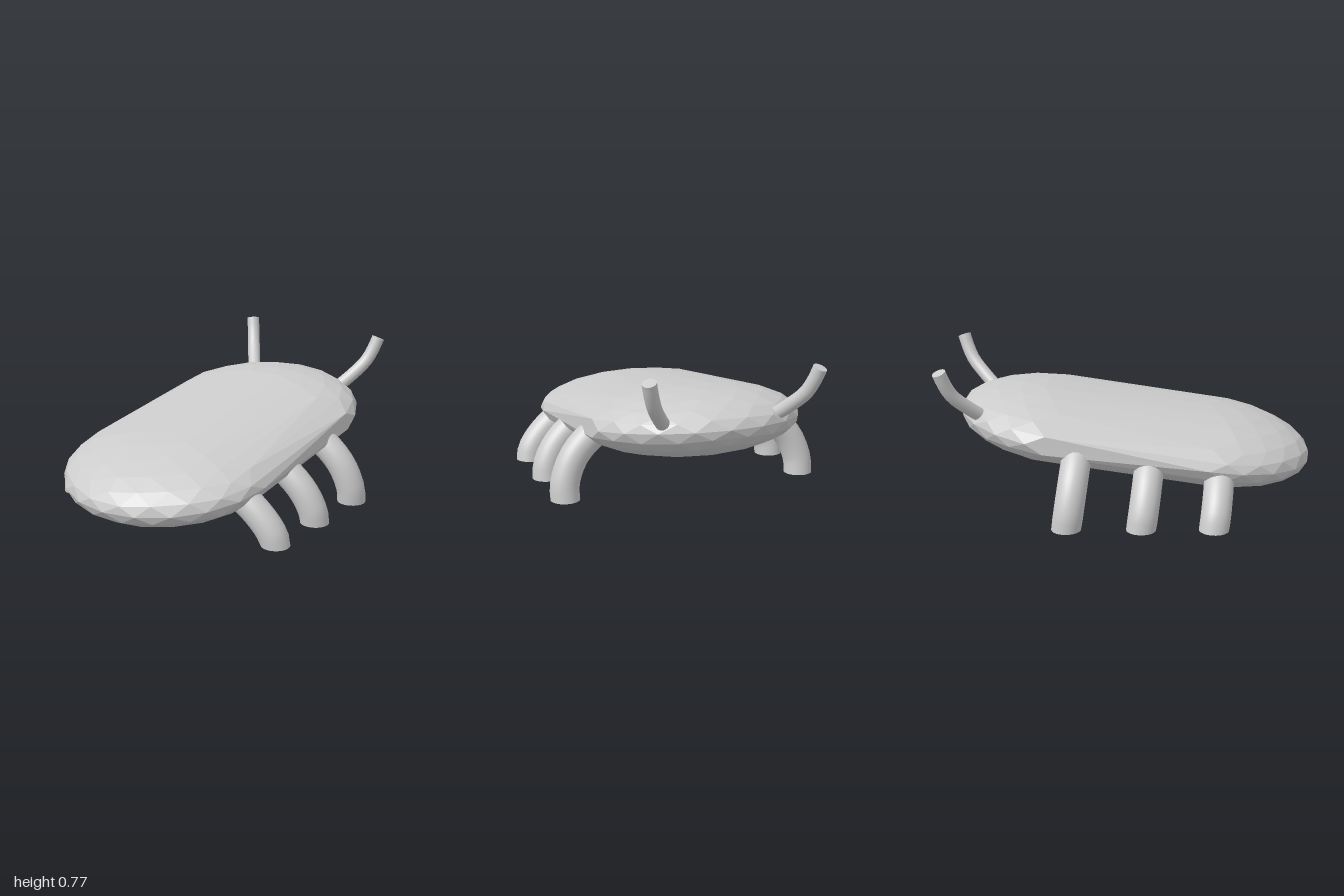
import * as THREE from 'three';

const SLOPE = 0.142; // nose-down lean of the body and legs
const flat = new THREE.MeshStandardMaterial({ color: 0xcccccc, flatShading: true });
const smooth = new THREE.MeshStandardMaterial({ color: 0xcccccc, side: THREE.DoubleSide });

// Split every triangle into four, pushing new corners out to the unit sphere
function subdivide(tris) {
  const mid = (a, b) => a.clone().add(b).normalize();
  return tris.flatMap(([a, b, c]) => {
    const ab = mid(a, b), bc = mid(b, c), ca = mid(c, a);
    return [[a, ab, ca], [ab, b, bc], [ca, bc, c], [ab, bc, ca]];
  });
}

// Faceted sphere, cut in half across and pulled into a flattened capsule
function createBody() {
  const ico = new THREE.IcosahedronGeometry(1, 0);
  ico.rotateX(-Math.atan((1 + Math.sqrt(5)) / 2)); // one corner straight up
  const pos = ico.attributes.position;
  let tris = [];
  for (let i = 0; i < pos.count; i += 3) {
    tris.push([0, 1, 2].map((k) => new THREE.Vector3().fromBufferAttribute(pos, i + k)));
  }
  tris = subdivide(subdivide(tris));
  const points = tris.flat().map((p) =>
    new THREE.Vector3(p.x * 0.58, p.y * 0.188, p.z * 0.575 + (p.z > -1e-4 ? 0.388 : -0.388)));
  const geo = new THREE.BufferGeometry().setFromPoints(points);
  geo.rotateX(Math.atan(SLOPE));
  geo.translate(0, 0.335, 0.042);
  geo.computeVertexNormals();
  const mesh = new THREE.Mesh(geo, flat);
  mesh.name = 'body';
  return mesh;
}

// Bent round limb with a flat end; a grounded one is levelled at y = 0
function createLimb(name, points, radius, grounded) {
  const group = new THREE.Group();
  group.name = name;
  const segments = 10, sides = 32;
  const curve = new THREE.CatmullRomCurve3(points);
  const tube = new THREE.TubeGeometry(curve, segments, radius, sides);
  const pos = tube.attributes.position;
  const first = segments * (sides + 1);
  const rim = [];
  for (let i = 0; i <= sides; i++) {
    if (grounded) pos.setY(first + i, 0);
    rim.push(new THREE.Vector3().fromBufferAttribute(pos, first + i));
  }
  const center = points[points.length - 1];
  const fan = [];
  for (let i = 0; i < sides; i++) fan.push(center, rim[i], rim[i + 1]);
  const cap = new THREE.BufferGeometry().setFromPoints(fan);
  cap.computeVertexNormals();
  const shaft = new THREE.Mesh(tube, smooth);
  shaft.name = name + 'Shaft';
  const end = new THREE.Mesh(cap, smooth);
  end.name = name + 'End';
  group.add(shaft, end);
  return group;
}

export function createModel() {
  const model = new THREE.Group();
  model.name = 'bug';
  model.add(createBody());

  // Leg bends as [x, y], from inside the body to the ground
  const longLeg = [[0.42, 0.37], [0.5, 0.325], [0.57, 0.265], [0.62, 0.2], [0.655, 0.12], [0.668, 0.06], [0.667, 0]];
  const shortLeg = [[0.42, 0.26], [0.49, 0.22], [0.55, 0.175], [0.6, 0.125], [0.635, 0.08], [0.655, 0.04], [0.662, 0]];
  const legs = [['frontLeg', 0.4475, 0], ['middleLeg', 0.078, 0.5], ['backLeg', -0.302, 1]];
  const feelerPath = [[0.3, 0.49, -0.77], [0.345, 0.545, -0.83], [0.395, 0.62, -0.9], [0.422, 0.69, -0.935], [0.44, 0.755, -0.957]];

  for (const [label, s] of [['left', 1], ['right', -1]]) {
    for (const [name, z, t] of legs) {
      const path = shortLeg.map(([x, y], i) => {
        const px = THREE.MathUtils.lerp(x, longLeg[i][0], t);
        const py = THREE.MathUtils.lerp(y, longLeg[i][1], t);
        return new THREE.Vector3(s * px, py, z + py * SLOPE);
      });
      model.add(createLimb(label + name[0].toUpperCase() + name.slice(1), path, 0.077, true));
    }
    const feeler = feelerPath.map(([x, y, z]) => new THREE.Vector3(s * x, y, z));
    model.add(createLimb(label + 'Antenna', feeler, 0.036, false));
  }
  return model;
}
